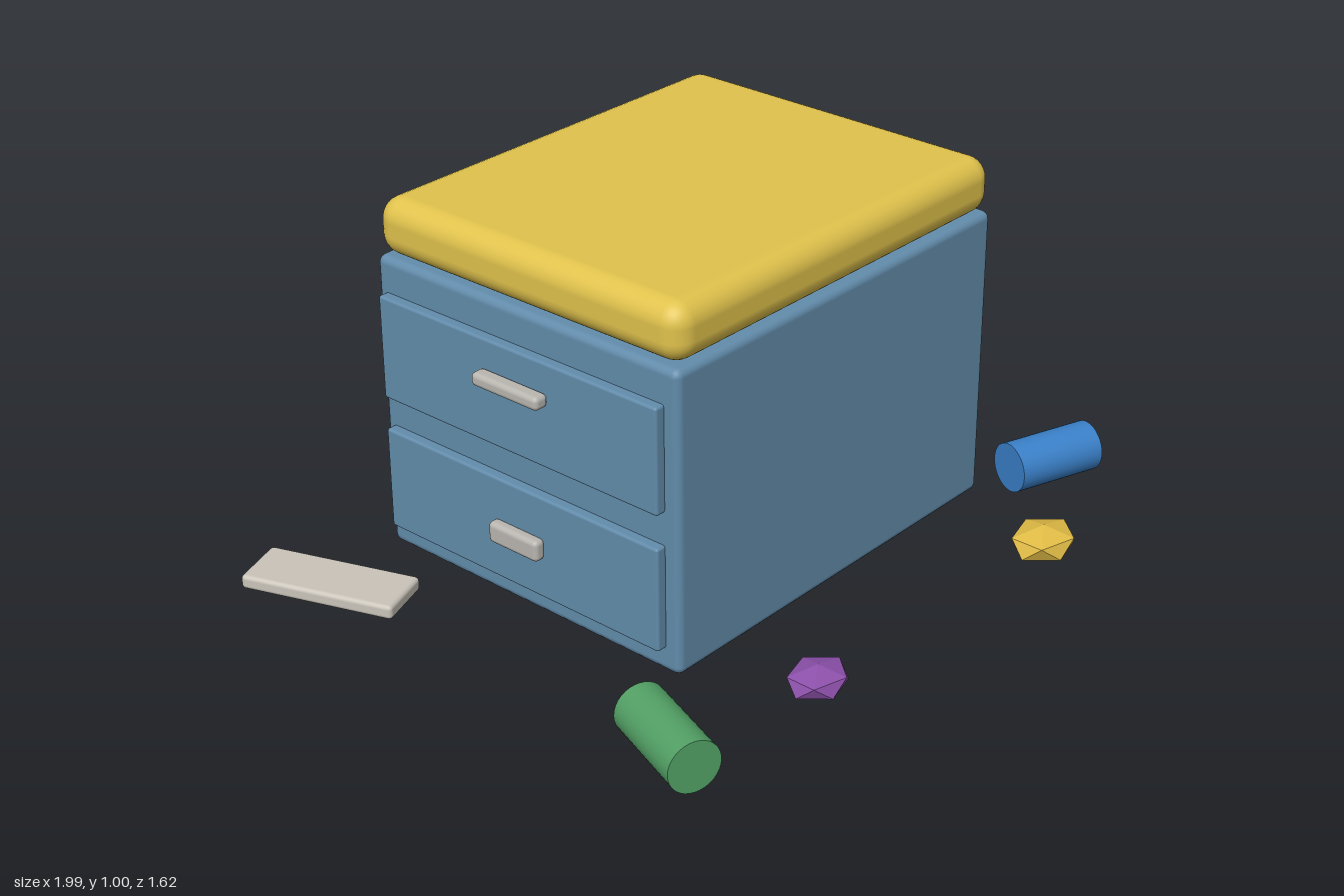
import * as THREE from 'three';
import { RoundedBoxGeometry } from 'three/addons/geometries/RoundedBoxGeometry.js';

const COLORS = {
  cabinet: 0x628cab, cushion: 0xe0c24c, handle: 0xb9b6b0, slab: 0xc9c3b9,
  red: 0xd9483c, silver: 0xb8bcbf, ivory: 0xd6d0c6, dark: 0x2a333d,
  blue: 0x3a80c8, green: 0x52a065, purple: 0x8c50aa, yellow: 0xe0bb45,
};

export function createModel() {
  const model = new THREE.Group();
  const materials = {};
  for (const key in COLORS) materials[key] = new THREE.MeshStandardMaterial({ color: COLORS[key] });

  function add(name, geometry, color, [x, y, z], parent = model) {
    const mesh = new THREE.Mesh(geometry, materials[color]);
    mesh.name = name;
    mesh.position.set(x, y, z);
    parent.add(mesh);
    return mesh;
  }
  const box = (w, h, d, r, segments = 2) => new RoundedBoxGeometry(w, h, d, segments, r);

  // Cylinder lying on the floor, its axis turned from +z by the given angle
  const lyingCylinder = (radius, length, angle) =>
    new THREE.CylinderGeometry(radius, radius, length, 32).rotateX(Math.PI / 2).rotateY(angle);

  // Cabinet and padded seat
  add('cabinet', box(1.24, 0.835, 1.015, 0.022), 'cabinet', [0.045, 0.4275, -0.1125]);
  add('seatCushion', box(1.24, 0.157, 1.02, 0.06, 4), 'cushion', [0.045, 0.923, -0.1125]);

  // Two drawers on the right side, each with its own pull
  const drawers = [
    { name: 'upperDrawer', y: 0.605, pull: [0.045, 0.038, 0.225], pullY: 0.652, pullX: -0.624 },
    { name: 'lowerDrawer', y: 0.225, pull: [0.036, 0.06, 0.17], pullY: 0.225, pullX: -0.618 },
  ];
  for (const d of drawers) {
    const drawer = new THREE.Group();
    drawer.name = d.name;
    model.add(drawer);
    add('drawerFront', box(0.034, 0.29, 0.94, 0.008), 'cabinet', [-0.588, d.y, -0.1175], drawer);
    add('drawerPull', box(...d.pull, 0.014), 'handle', [d.pullX, d.pullY, -0.11], drawer);
  }

  // Flat slab on the floor
  add('slab', box(0.165, 0.04, 0.435, 0.012), 'slab', [-0.848, 0.025, -0.565]).rotation.y = 0.345;

  // Standing can with a narrower lid
  add('standingCan', new THREE.CylinderGeometry(0.072, 0.072, 0.265, 32), 'red', [0.89, 0.1375, -0.74]);
  add('canLid', new THREE.CylinderGeometry(0.062, 0.062, 0.016, 32), 'silver', [0.89, 0.277, -0.74]);

  // Cup tipped on its side, with a dark mouth
  const cup = new THREE.Group();
  cup.name = 'tippedCup';
  cup.position.set(0.808, 0.138, -0.208);
  cup.rotation.y = 0.525;
  model.add(cup);
  add('cupBody', lyingCylinder(0.132, 0.112, 0), 'ivory', [0, 0, 0], cup);
  add('cupMouth', lyingCylinder(0.099, 0.02, 0), 'dark', [0, 0, 0.051], cup);

  // Two cans lying on the floor
  add('blueCan', lyingCylinder(0.07, 0.265, 1.235), 'blue', [0.845, 0.076, 0.505]);
  add('greenCan', lyingCylinder(0.07, 0.27, -0.36), 'green', [-0.848, 0.076, 0.597]);

  // Squashed faceted pieces, one point up
  const piece = (sx, sy, sz) => new THREE.IcosahedronGeometry(1, 0).rotateZ(-0.5536).scale(sx, sy, sz);
  add('purplePiece', piece(0.094, 0.04, 0.08), 'purple', [-0.4, 0.05, 0.685]);
  add('yellowPiece', piece(0.107, 0.045, 0.09), 'yellow', [0.49, 0.055, 0.731]);

  // Settle on the floor
  model.children.forEach((part) => { part.position.y -= 0.005; });
  return model;
}
